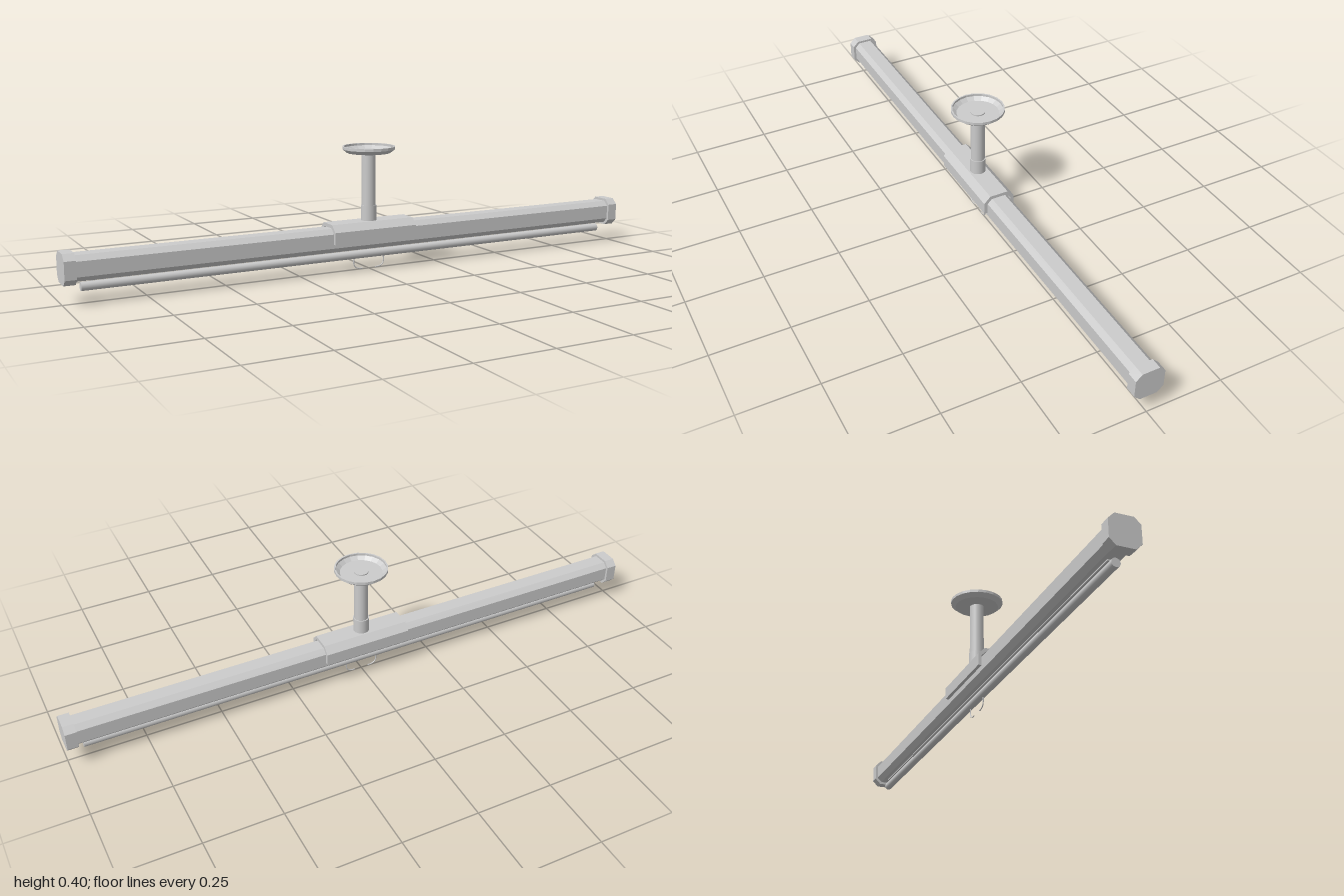
import * as THREE from 'three';

const CY = 0.11; // height of the housing axis

export function createModel() {
  const group = new THREE.Group();
  const flat = new THREE.MeshStandardMaterial({ color: 0xcccccc, flatShading: true, side: THREE.DoubleSide });
  const smooth = new THREE.MeshStandardMaterial({ color: 0xcccccc, side: THREE.DoubleSide });

  const add = (name, geometry, material = flat) => {
    const mesh = new THREE.Mesh(geometry, material);
    mesh.name = name;
    group.add(mesh);
    return mesh;
  };

  // Extrudes a (z, y) profile along x, from x0 to x1
  const extrudeX = (points, x0, x1) => {
    const shape = new THREE.Shape(points.map(([z, y]) => new THREE.Vector2(-z, y)));
    return new THREE.ExtrudeGeometry(shape, { depth: x1 - x0, bevelEnabled: false })
      .rotateY(Math.PI / 2).translate(x0, 0, 0);
  };

  // Square with half-size r and chamfer c
  const octagon = (r, c) => [
    [r, c - r], [r, r - c], [r - c, r], [c - r, r],
    [-r, r - c], [-r, c - r], [c - r, -r], [r - c, -r],
  ].map(([z, y]) => [z, y + CY]);

  // Long octagonal housing with the slot lip along its underside
  add('housing', extrudeX(octagon(0.039, 0.016), -0.97, 0.97));
  add('slotLip', new THREE.BoxGeometry(1.84, 0.006, 0.02).translate(0, 0.07, 0));

  // End caps
  for (const [name, s] of [['leftEndCap', 1], ['rightEndCap', -1]]) {
    add(name, extrudeX(octagon(0.047, 0.019), s > 0 ? 0.965 : -1, s > 0 ? 1 : -0.965));
  }

  // Saddle clamp: a chamfered shell over the upper half of the housing
  add('saddle', extrudeX([
    [0.053, 0.101], [0.053, 0.14], [0.031, 0.162], [-0.031, 0.162], [-0.053, 0.14], [-0.053, 0.101],
    [-0.042, 0.101], [-0.042, 0.135], [-0.026, 0.151], [0.026, 0.151], [0.042, 0.135], [0.042, 0.101],
  ], -0.148, 0.148));

  // Mounting stem with its collar
  add('collar', new THREE.CylinderGeometry(0.026, 0.026, 0.052, 20).translate(0, 0.185, 0), smooth);
  add('stem', new THREE.CylinderGeometry(0.023, 0.023, 0.231, 20).translate(0, 0.2755, 0), smooth);

  // Open ceiling dish
  const dish = [[0, 0.383], [0.071, 0.383], [0.086, 0.395], [0.086, 0.404], [0.081, 0.404], [0.081, 0.397], [0.068, 0.387], [0, 0.387]];
  add('ceilingDish', new THREE.LatheGeometry(dish.map(([r, y]) => new THREE.Vector2(r, y)), 20));

  // Bottom rail
  add('bottomRail', new THREE.CylinderGeometry(0.0135, 0.0135, 1.89, 16)
    .rotateZ(Math.PI / 2).translate(0, 0.05, 0), smooth);

  // Wire pull handle, split in the middle
  for (const [name, s] of [['leftPullHook', 1], ['rightPullHook', -1]]) {
    const path = new THREE.CatmullRomCurve3([
      [0.054, 0.045], [0.055, 0.02], [0.05, 0.009], [0.038, 0.003], [0.024, 0.002],
    ].map(([x, y]) => new THREE.Vector3(s * x, y, 0)));
    add(name, new THREE.TubeGeometry(path, 14, 0.002, 6), smooth);
  }

  return group;
}
